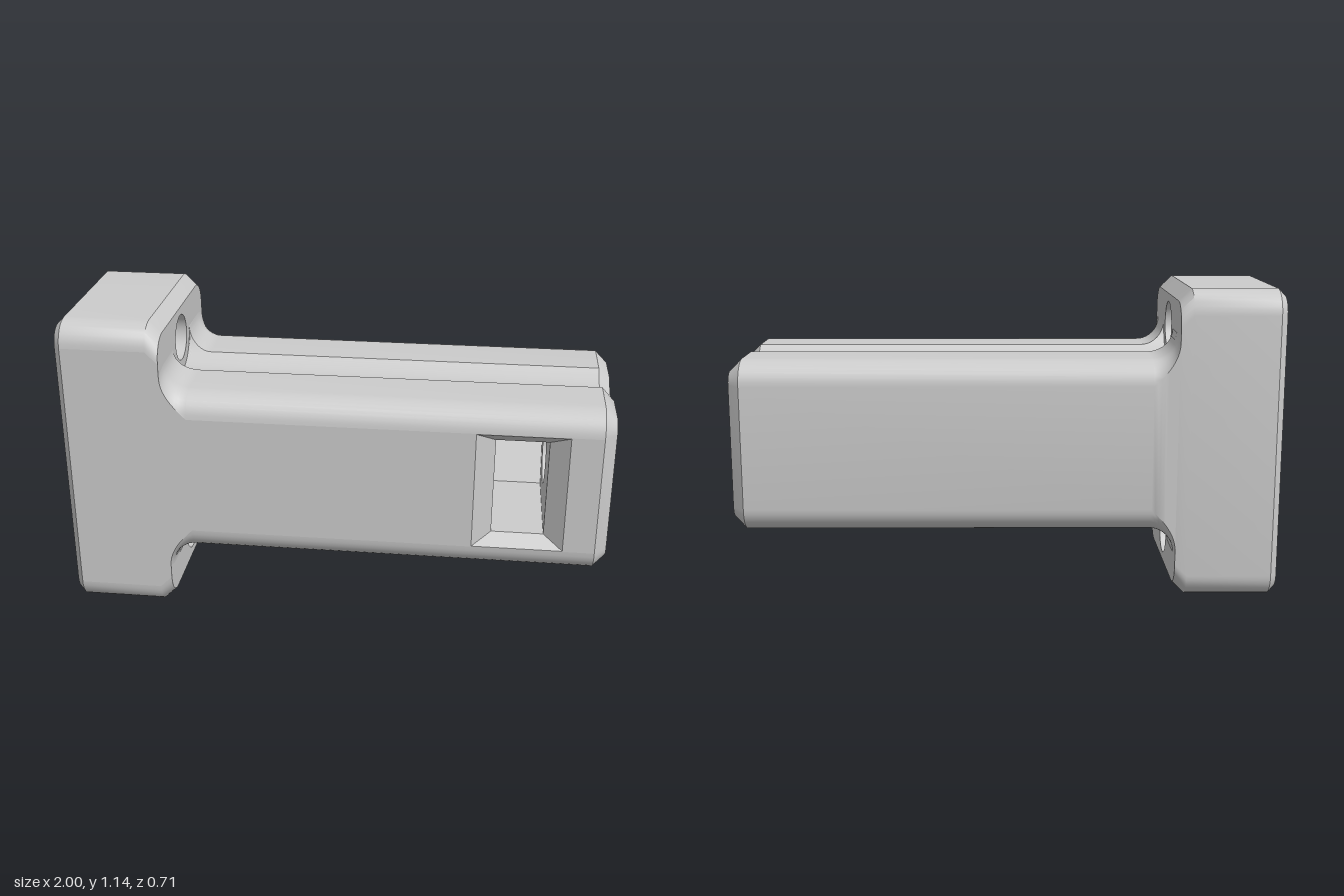
import * as THREE from 'three';
import { toCreasedNormals } from 'three/addons/utils/BufferGeometryUtils.js';

const MID = 0.57;         // height of the symmetry plane; all y below are relative to it
const WIDE = 0.355;       // half width
const CORNER_Z = 0.265;   // z of the corner-round centres
const SCREW_Y = 0.408;    // screw axis offset
const V = (x, y, z) => new THREE.Vector3(x, y, z);

// Cross-section ring at x: half height h, corner radius r, screw groove radius g (0 = none).
function section(x, h, r, g = 0) {
  const w = Math.min(WIDE, CORNER_Z + r);
  const half = [];
  for (let i = 0; i <= 8; i++) {
    const dz = (w - CORNER_Z) * Math.cos((i / 8) * Math.PI / 2);
    half.push([CORNER_Z + dz, h - r + Math.sqrt(Math.max(0, r * r - dz * dz))]);
  }
  const edge = g ? Math.sqrt(g * g - (SCREW_Y - h) ** 2) : 0.1;
  const a = g ? Math.asin(Math.min(1, edge / g)) : 0;
  for (let i = 0; i <= 10; i++) {
    const t = a * (1 - i / 10);
    half.push(g ? [g * Math.sin(t), SCREW_Y - g * Math.cos(t)] : [edge * (1 - i / 10), h]);
  }
  const top = [...half, ...half.slice(0, -1).reverse().map(([z, y]) => [-z, y])];
  const ring = [...top, ...top.slice().reverse().map(([z, y]) => [z, -y])].map(([z, y]) => V(x, y, z));
  return { x, w, top, ring };
}

// Skin between successive rings; skip(i, j) leaves a quad out.
function loft(rings, closed = true, skip = () => false) {
  const pos = [];
  for (let i = 0; i < rings.length - 1; i++) {
    const n = rings[i].length;
    for (let j = 0; j < (closed ? n : n - 1); j++) {
      if (skip(i, j, n)) continue;
      const k = (j + 1) % n;
      const a = rings[i][j], b = rings[i][k], c = rings[i + 1][k], d = rings[i + 1][j];
      for (const p of [a, d, b, b, d, c]) pos.push(p.x, p.y, p.z);
    }
  }
  const geo = new THREE.BufferGeometry();
  geo.setAttribute('position', new THREE.Float32BufferAttribute(pos, 3));
  return toCreasedNormals(geo, 0.6);
}

// Flat plate across the x axis from (z, y) outline with round holes [y, radius].
function plate(x, outline, holes, facing) {
  const shape = new THREE.Shape(outline.map(([z, y]) => new THREE.Vector2(-facing * z, y)));
  for (const [y, r] of holes) {
    shape.holes.push(new THREE.Path().absarc(0, y, r, 0, Math.PI * 2, true));
  }
  return new THREE.ShapeGeometry(shape, 24).rotateY(facing * Math.PI / 2).translate(x, 0, 0);
}

// Round hole along x from (radius, x) points.
function bore(points, y = 0) {
  const geo = new THREE.LatheGeometry(points.map(([r, x]) => new THREE.Vector2(r, x)), 48);
  return toCreasedNormals(geo.rotateZ(-Math.PI / 2).translate(0, y, 0), 0.6);
}

export function createModel() {
  const model = new THREE.Group();
  model.name = 'flangedBlock';
  model.position.y = MID;
  const skinMat = new THREE.MeshStandardMaterial({ color: 0xcccccc });
  const innerMat = new THREE.MeshStandardMaterial({ color: 0xcccccc, side: THREE.DoubleSide });
  const add = (name, geo, mat = skinMat) => {
    const mesh = new THREE.Mesh(geo, mat);
    mesh.name = name;
    model.add(mesh);
  };

  // Flange and body cross-sections; the body starts with a concave fillet
  const flange = [
    section(-1, 0.545, 0.065), section(-0.975, 0.57, 0.09),
    section(-0.665, 0.57, 0.09), section(-0.62, 0.525, 0.09),
  ];
  const body = [];
  for (let i = 0; i <= 10; i++) {
    const b = (i / 10) * Math.PI / 2;
    const t = 0.09 * (1 - Math.sin(b));
    body.push(section(-0.62 + 0.09 * (1 - Math.cos(b)), 0.317 + t, 0.09 + t, 0.131));
  }
  body.push(section(0.955, 0.317, 0.09, 0.131), section(1, 0.272, 0.045, 0.176));

  // Outer skins, leaving the flat +z side open for the windowed panel
  for (const [name, list] of [['flange', flange], ['body', body]]) {
    const skip = (i, j, n) => j === n - 1 && list[i].w === WIDE && list[i + 1].w === WIDE;
    add(name, loft(list.map((s) => s.ring), true, skip));
  }

  // Front side panel with window opening
  const winX = 0.675;
  const rect = (hx, hy) => [[-hx, -hy], [hx, -hy], [hx, hy], [-hx, hy]].map(([x, y]) => [winX + x, y]);
  const upper = [...flange.slice(1), ...body.slice(0, -1)].map((s) => [s.x, s.top[0][1]]);
  const toV2 = ([x, y]) => new THREE.Vector2(x, y);
  const side = new THREE.Shape([...upper, ...upper.slice().reverse().map(([x, y]) => [x, -y])].map(toV2));
  side.holes.push(new THREE.Path(rect(0.165, 0.225).map(toV2)));
  add('sidePanel', new THREE.ShapeGeometry(side).translate(0, 0, WIDE));

  // End faces
  const flat = (s) => s.ring.map((p) => [p.z, p.y]);
  add('backFace', plate(-1, flat(flange[0]), [[0, 0.3], [SCREW_Y, 0.102], [-SCREW_Y, 0.102]], -1));
  add('endFace', plate(1, flat(body[body.length - 1]), [[0, 0.138]], 1));

  // Flange shoulders and screw holes, above and below
  for (const s of [1, -1]) {
    const outline = [...flange[3].top, ...body[0].top.slice().reverse()].map(([z, y]) => [z, s * y]);
    add('shoulder', plate(-0.62, outline, [[s * SCREW_Y, 0.087]], 1));
    add('screwHole', bore([[0.102, -1], [0.087, -0.985], [0.087, -0.62]], s * SCREW_Y), innerMat);
  }

  // Main stepped bore, interrupted by the nut pocket
  const pocketX = [winX - 0.095, winX + 0.095];
  add('mainBore', bore([[0.3, -1], [0.25, -0.95], [0.25, 0.38], [0.117, 0.38], [0.117, pocketX[0]]]), innerMat);
  add('endBore', bore([[0.117, pocketX[1]], [0.117, 0.979], [0.138, 1]]), innerMat);

  // Nut pocket: bevelled mouth, pointed hexagonal floor and pierced side walls
  const mouthZ = 0.305;
  const hex = [[mouthZ, 0.185], [-0.107, 0.185], [-0.214, 0], [-0.107, -0.185], [mouthZ, -0.185]];
  add('pocketBevel', loft([
    rect(0.165, 0.225).map(([x, y]) => V(x, y, WIDE)),
    rect(0.095, 0.185).map(([x, y]) => V(x, y, mouthZ)),
  ]), innerMat);
  add('pocketFloor', loft(pocketX.map((x) => hex.map(([z, y]) => V(x, y, z))), false), innerMat);
  pocketX.forEach((x, i) => add('pocketWall', plate(x, hex, [[0, 0.117]], i ? -1 : 1), innerMat));

  return model;
}
